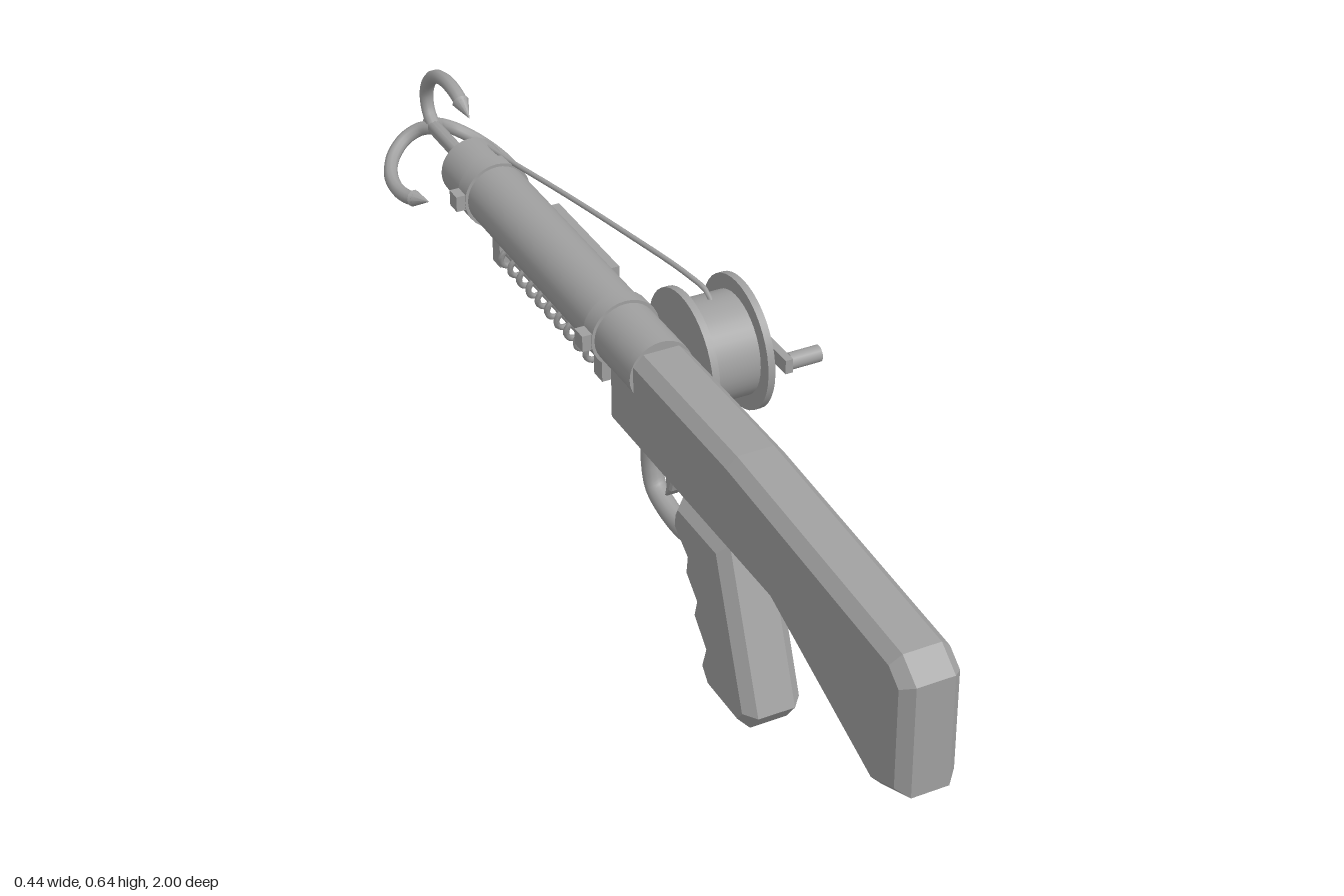
import * as THREE from 'three';
import { toCreasedNormals } from 'three/addons/utils/BufferGeometryUtils.js';

const AX = -0.085, AY = 0.49; // barrel axis

export function createModel() {
  const model = new THREE.Group();
  const grey = new THREE.MeshStandardMaterial({ color: 0xa0a0a0 });
  grey.name = 'plain grey';

  const add = (name, geo, parent = model) => {
    const mesh = new THREE.Mesh(geo, grey);
    mesh.name = name;
    parent.add(mesh);
    return mesh;
  };
  const box = (name, x0, x1, y0, y1, z0, z1) =>
    add(name, new THREE.BoxGeometry(x1 - x0, y1 - y0, z1 - z0)
      .translate((x0 + x1) / 2, (y0 + y1) / 2, (z0 + z1) / 2));

  // side profile given as [z, y], extruded across x with chamfered edges
  const slab = (name, pts, width, bevel) => {
    const shape = new THREE.Shape(pts.map(p => new THREE.Vector2(...p)));
    const depth = width - 2 * bevel;
    const geo = new THREE.ExtrudeGeometry(shape, {
      depth, bevelEnabled: true, bevelThickness: bevel, bevelSize: bevel,
      bevelOffset: -bevel, bevelSegments: 1, curveSegments: 6
    });
    geo.translate(0, 0, -depth / 2).rotateY(-Math.PI / 2).translate(AX, 0, 0);
    return add(name, geo);
  };
  // lathe along the barrel axis, points are [radius, distance towards -z]
  const turned = (name, pts, seg = 32) =>
    add(name, toCreasedNormals(new THREE.LatheGeometry(
      pts.map(p => new THREE.Vector2(...p)), seg), 0.6)
      .rotateX(-Math.PI / 2).translate(AX, AY, 0));
  const rodX = (name, r, x0, x1, y, z, seg = 40) =>
    add(name, new THREE.CylinderGeometry(r, r, x1 - x0, seg)
      .rotateZ(Math.PI / 2).translate((x0 + x1) / 2, y, z));
  const tube = (name, pts, r, n = 32, seg = 10, parent = model) =>
    add(name, new THREE.TubeGeometry(new THREE.CatmullRomCurve3(
      pts.map(p => new THREE.Vector3(...p))), n, r, seg), parent);

  // stock and finger-grooved grip
  slab('stock', [[1, 0.465], [0.955, 0.5], [0.41, 0.535], [-0.05, 0.535],
    [-0.05, 0.34], [0.565, 0.34], [0.91, 0.207], [1, 0.245]], 0.11, 0.02);
  slab('grip', [[0.39, 0.34], [0.5, 0.04], [0.47, 0], [0.34, 0], [0.305, 0.04],
    [0.32, 0.085], [0.275, 0.13], [0.285, 0.165], [0.245, 0.2], [0.25, 0.235],
    [0.2, 0.27], [0.205, 0.31], [0.22, 0.34]], 0.112, 0.02);

  // trigger and guard
  tube('triggerGuard', [[AX, 0.36, 0.02], [AX, 0.27, 0.02], [AX, 0.23, 0.035],
    [AX, 0.212, 0.08], [AX, 0.208, 0.15], [AX, 0.225, 0.215], [AX, 0.25, 0.26]], 0.02, 36, 12);
  slab('trigger', [[0.08, 0.35], [0.12, 0.35], [0.128, 0.3], [0.12, 0.275],
    [0.1, 0.253], [0.104, 0.28], [0.1, 0.305]], 0.03, 0.004);

  // barrel with open muzzle and two clamping collars
  turned('barrel', [[0, -0.06], [0.062, -0.06], [0.062, 0.77], [0.048, 0.77],
    [0.048, 0.68], [0, 0.68]]);
  for (const z of [-0.1, -0.66]) {
    turned('collar', [[0.06, -z - 0.018], [0.068, -z - 0.018],
      [0.068, -z + 0.018], [0.06, -z + 0.018]]);
    box('collarTab', -0.17, -0.14, 0.474, 0.506, z - 0.016, z + 0.016);
  }
  box('sidePlate', -0.045, -0.018, 0.455, 0.525, -0.505, -0.245);

  // spring on its guide rod below the barrel
  for (const z of [-0.163, -0.617])
    box('springBracket', AX - 0.018, AX + 0.018, 0.355, 0.44, z - 0.017, z + 0.017);
  add('springRod', new THREE.CylinderGeometry(0.01, 0.01, 0.44, 12)
    .rotateX(Math.PI / 2).translate(AX, 0.388, -0.39));
  const coils = 10, coil = [];
  for (let i = 0; i <= coils * 10; i++) {
    const a = i / 10 * Math.PI * 2;
    coil.push([AX + 0.025 * Math.cos(a), 0.388 + 0.025 * Math.sin(a), -0.18 - 0.42 * i / (coils * 10)]);
  }
  tube('spring', coil, 0.006, coils * 20, 6);

  // grapple shaft with eye ring
  turned('grappleShaft', [[0, 0.67], [0.015, 0.67], [0.015, 0.97], [0.01, 0.985], [0, 0.988]], 16);
  turned('shaftNut', [[0.012, 0.785], [0.032, 0.785], [0.032, 0.812], [0.024, 0.822], [0.012, 0.822]], 16);

  // three curved prongs with pointed tips
  for (let i = 0; i < 3; i++) {
    const prong = new THREE.Group();
    prong.name = 'prong';
    prong.position.set(AX, AY, 0);
    prong.rotation.z = i * Math.PI * 2 / 3;
    model.add(prong);
    tube('prongHook', [[0, 0, -0.95], [0, 0.025, -0.978], [0, 0.06, -0.984], [0, 0.1, -0.962],
      [0, 0.127, -0.92], [0, 0.137, -0.87], [0, 0.132, -0.825], [0, 0.122, -0.8]], 0.014, 32, 10, prong);
    const tip = add('prongTip', new THREE.ConeGeometry(0.017, 0.045, 10).rotateX(Math.PI / 2), prong);
    tip.position.set(0, 0.116, -0.787);
    tip.rotation.x = 0.4;
  }

  // reel
  const RY = 0.455, RZ = -0.018;
  box('reelMount', -0.045, -0.006, 0.42, 0.488, RZ - 0.035, RZ + 0.035);
  rodX('reelFlange', 0.128, -0.008, 0.006, RY, RZ);
  rodX('reelDrum', 0.099, 0.004, 0.104, RY, RZ);
  rodX('reelFlange', 0.128, 0.102, 0.116, RY, RZ);

  // crank
  rodX('crankShaft', 0.013, 0.114, 0.145, RY, RZ, 16);
  box('crankArm', 0.142, 0.157, RY - 0.014, RY + 0.014, -0.035, 0.1);
  rodX('crankHandle', 0.016, 0.157, 0.218, RY, 0.084, 16);

  // line from the drum to the grapple shaft
  tube('line', [[0.057, 0.54, -0.02], [0.055, 0.562, -0.035], [0.045, 0.57, -0.1],
    [0.015, 0.567, -0.28], [-0.02, 0.56, -0.48], [-0.05, 0.55, -0.65],
    [-0.064, 0.54, -0.75], [-0.073, 0.515, -0.8]], 0.005, 48, 8);

  return model;
}
